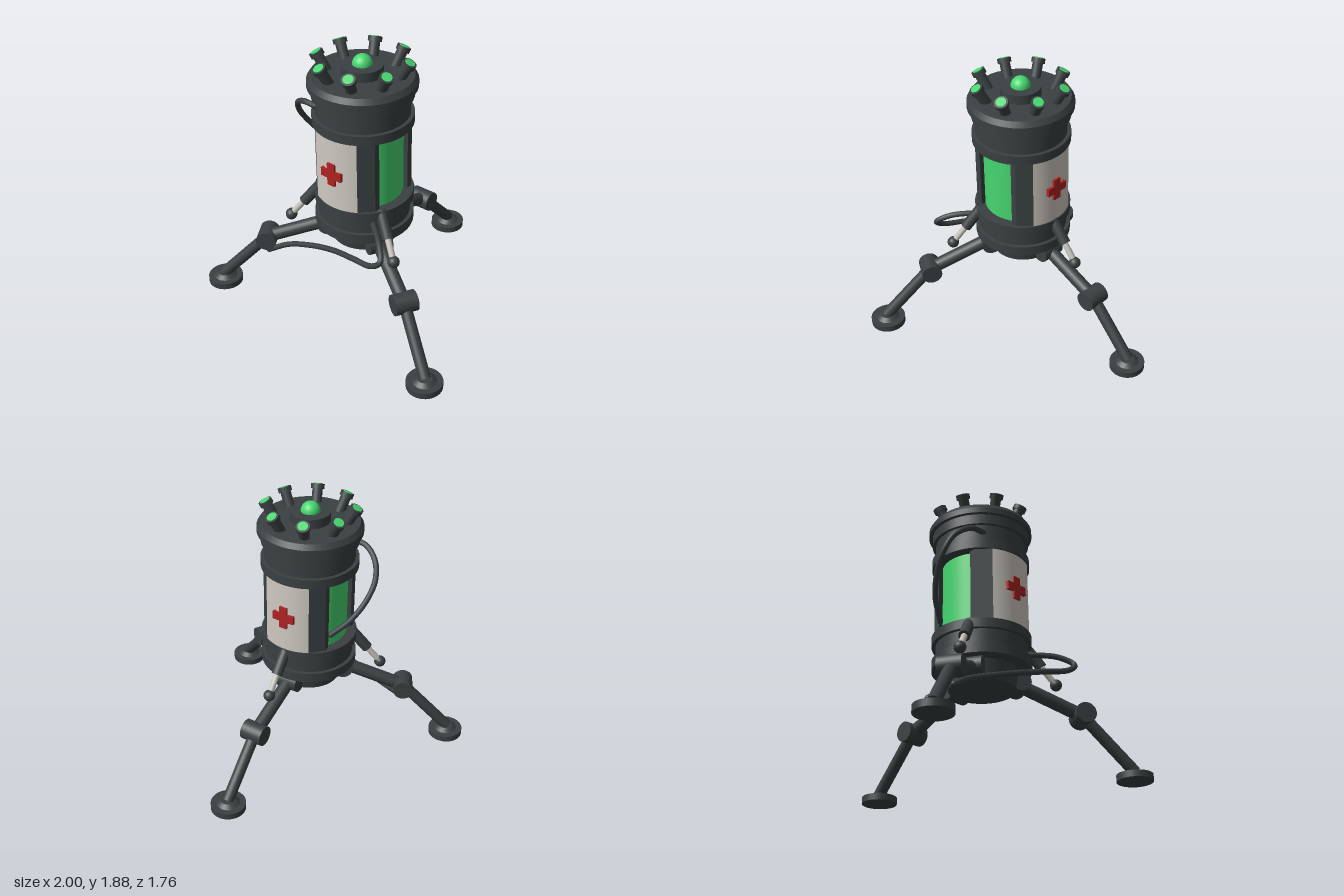
import * as THREE from 'three';

const mat = (name, color, side = THREE.FrontSide) => {
  const m = new THREE.MeshStandardMaterial({ color, side });
  m.name = name;
  return m;
};

export function createModel() {
  const dark = mat('dark metal', 0x3a4042);
  const green = mat('glowing green', 0x46d670, THREE.DoubleSide);
  const white = mat('off-white', 0xcfcac2, THREE.DoubleSide);
  const red = mat('red', 0xb02323);
  const steel = mat('light steel', 0xc4c1b8);

  const root = new THREE.Group();
  root.name = 'tripodCanister';
  // everything is arranged around the canister axis
  const model = new THREE.Group();
  model.name = 'assembly';
  model.position.z = 0.25;
  root.add(model);

  const add = (parent, name, geometry, material) => {
    const m = new THREE.Mesh(geometry, material);
    m.name = name;
    parent.add(m);
    return m;
  };
  const V = (x, y, z) => new THREE.Vector3(x, y, z);

  // upright disc or drum between two heights
  const drum = (parent, name, y0, y1, rBottom, rTop = rBottom, material = dark, seg = 48) => {
    const m = add(parent, name, new THREE.CylinderGeometry(rTop, rBottom, y1 - y0, seg), material);
    m.position.y = (y0 + y1) / 2;
    return m;
  };
  // round bar from a to b
  const bar = (parent, name, a, b, r, material = dark, seg = 20) => {
    const m = add(parent, name, new THREE.CylinderGeometry(r, r, a.distanceTo(b), seg), material);
    m.position.copy(a).add(b).multiplyScalar(0.5);
    m.quaternion.setFromUnitVectors(V(0, 1, 0), b.clone().sub(a).normalize());
    return m;
  };

  // ---- canister rings, bottom to top ----
  drum(model, 'hub', 0.535, 0.67, 0.22, 0.24);
  drum(model, 'lowerRing', 0.665, 0.735, 0.33);
  drum(model, 'lowerDrum', 0.735, 0.84, 0.305);
  drum(model, 'panelBaseRing', 0.84, 0.905, 0.33);
  drum(model, 'core', 0.9, 1.42, 0.235);
  drum(model, 'panelTopRing', 1.415, 1.48, 0.33);
  drum(model, 'upperDrum', 1.48, 1.6, 0.305);
  drum(model, 'collar', 1.6, 1.67, 0.328);
  drum(model, 'lidRim', 1.67, 1.71, 0.353);
  drum(model, 'lidBevel', 1.71, 1.745, 0.353, 0.33);
  drum(model, 'lidBoss', 1.745, 1.81, 0.133);
  const dome = add(model, 'lidDome', new THREE.SphereGeometry(0.065, 24, 16), green);
  dome.position.y = 1.81;

  // ---- curved panels and corner pillars ----
  const y0 = 0.905, y1 = 1.415;
  const panel = (name, r, half, angle, material) => {
    const g = new THREE.CylinderGeometry(r, r, y1 - y0, 20, 1, true, angle - half, half * 2);
    add(model, name, g, material).position.y = (y0 + y1) / 2;
  };
  const crossShape = new THREE.Shape();
  const L = 0.08, w = 0.029;
  [[w, L], [w, w], [L, w], [L, -w], [w, -L], [-w, -L], [-w, -w], [-L, -w], [-L, w], [-w, w], [-w, L]]
    .flatMap(([x, y]) => (x === w && y === -L ? [[w, -w], [x, y]] : x === -w && y === -L ? [[x, y]] : [[x, y]]))
    .forEach(([x, y], i) => (i ? crossShape.lineTo(x, y) : crossShape.moveTo(x, y)));
  const crossGeo = new THREE.ExtrudeGeometry(crossShape, { depth: 0.022, bevelEnabled: false });

  for (const a of [0, Math.PI]) {
    panel('whitePanel', 0.322, 0.54, a, white);
    panel('greenWindow', 0.26, 0.62, a + Math.PI / 2, green);
    const cross = new THREE.Group();
    cross.name = 'redCross';
    cross.rotation.y = a;
    add(cross, 'crossEmblem', crossGeo, red).position.set(0, 1.16, 0.313);
    model.add(cross);
  }
  for (const sx of [1, -1]) for (const sz of [1, -1]) {
    const pts = [[0.164, 0.275], [0.245, 0.193], [0.245, 0.15], [0.2, 0.145], [0.13, 0.19]]
      .map(([x, z]) => new THREE.Vector2(x * sx, -z * sz));
    const g = new THREE.ExtrudeGeometry(new THREE.Shape(pts), { depth: y1 - y0, bevelEnabled: false });
    g.rotateX(-Math.PI / 2);
    add(model, 'cornerPillar', g, dark).position.y = y0;
  }

  // ---- ring of leaning emitters on the lid ----
  for (let i = 0; i < 8; i++) {
    const e = new THREE.Group();
    e.name = 'emitter';
    e.rotation.y = Math.PI / 8 + i * Math.PI / 4;
    const a = V(0, 1.725, 0.232), b = V(0, 1.855, 0.302);
    const d = b.clone().sub(a).normalize();
    const along = (t) => b.clone().addScaledVector(d, t);
    bar(e, 'emitterStem', a, along(-0.02), 0.035);
    bar(e, 'emitterCap', along(-0.032), b, 0.046);
    bar(e, 'emitterLight', along(-0.01), along(0.004), 0.034, green);
    model.add(e);
  }

  // ---- three legs with knee joints, feet and struts ----
  for (const angle of [Math.PI / 3, -Math.PI / 3, Math.PI]) {
    const leg = new THREE.Group();
    leg.name = 'leg';
    leg.rotation.y = angle;
    const hip = V(0, 0.6, 0.245), knee = V(0, 0.423, 0.68), ankle = V(0, 0.065, 1.02);
    bar(leg, 'hipJoint', V(-0.08, hip.y, hip.z), V(0.08, hip.y, hip.z), 0.068, dark, 28);
    bar(leg, 'upperLeg', hip, knee, 0.046);
    bar(leg, 'kneeJoint', V(-0.078, knee.y, knee.z), V(0.078, knee.y, knee.z), 0.07, dark, 28);
    bar(leg, 'lowerLeg', knee, ankle, 0.04);
    drum(leg, 'footPad', 0, 0.045, 0.12, 0.12, dark, 36).position.z = 1.015;
    drum(leg, 'footCollar', 0.045, 0.068, 0.08, 0.05, dark, 28).position.z = 1.015;
    const top = V(0, 0.89, 0.29), mid = V(0, 0.742, 0.41), end = V(0, 0.625, 0.505);
    bar(leg, 'strutSleeve', top, mid, 0.038);
    bar(leg, 'strutRod', mid, end, 0.021, steel);
    add(leg, 'strutBall', new THREE.SphereGeometry(0.04, 20, 14), dark).position.copy(end);
    model.add(leg);
  }

  // ---- hoses (positions in model space) ----
  const hose = (name, pts) => {
    const curve = new THREE.CatmullRomCurve3(pts.map((p) => V(...p)));
    add(root, name, new THREE.TubeGeometry(curve, 72, 0.019, 12), dark);
    // closed tips
    for (const p of [pts[0], pts[pts.length - 1]])
      add(root, name + 'Tip', new THREE.SphereGeometry(0.019, 12, 8), dark).position.set(...p);
  };
  hose('upperHose', [[-0.2, 1.545, 0.48], [-0.3, 1.54, 0.47], [-0.4, 1.475, 0.42], [-0.44, 1.37, 0.36],
    [-0.425, 1.25, 0.28], [-0.36, 1.12, 0.19], [-0.25, 1.0, 0.12]]);
  hose('lowerHose', [[0.22, 0.8, 0.44], [0.38, 0.785, 0.58], [0.45, 0.725, 0.66], [0.38, 0.665, 0.665],
    [0.2, 0.615, 0.625], [0, 0.56, 0.58], [-0.22, 0.485, 0.555], [-0.43, 0.4, 0.56], [-0.58, 0.31, 0.6]]);

  return root;
}
